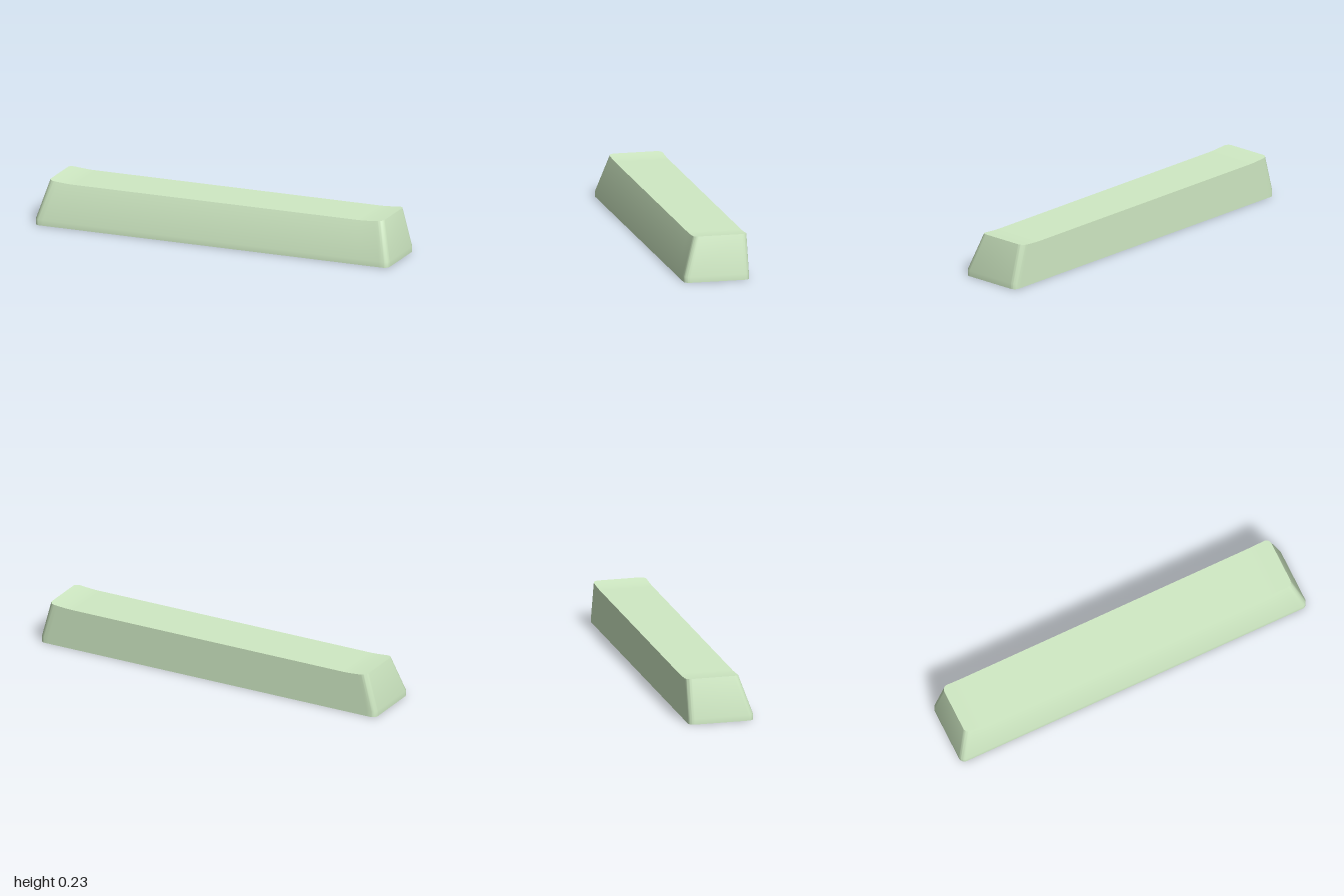
import * as THREE from 'three';
import { toCreasedNormals } from 'three/addons/utils/BufferGeometryUtils.js';

const ARC = 8; // segments per rounded corner

// Shallow scoop: the top is level and rises at both ends
const topHeight = (x) => 0.222 + 0.01 * Math.max(0, (Math.abs(x) - 0.81) / 0.135) ** 1.6;

// Rounded rectangle as a front chain (left to right) and a back chain (right to left)
function ring(y, hx, zBack, zFront, r) {
  const xs = [];
  for (let i = 0; i <= ARC; i++) {
    const a = (i / ARC) * Math.PI / 2;
    xs.push([-hx + r - r * Math.cos(a), r - r * Math.sin(a)]);
  }
  for (const f of [0.98, 0.96, 0.94, 0.92, 0.9, 0.88, 0.86, 0.5, 0]) xs.push([-(hx - r) * f, 0]);
  const half = xs.slice(0, -1).reverse().map(([x, d]) => [-x, d]);
  const chain = [...xs, ...half];
  const height = (x) => (typeof y === 'function' ? y(x) : y);
  const front = chain.map(([x, d]) => [x, height(x), zFront - d]);
  const back = chain.map(([x, d]) => [x, height(x), zBack + d]);
  return [...front, ...back.reverse()];
}

// Skin consecutive rings, then close the first and last with strips
function shell(rings) {
  const pos = [];
  const quad = (a, b, c, d) => pos.push(...a, ...b, ...c, ...a, ...c, ...d);
  const n = rings[0].length;
  for (let k = 0; k + 1 < rings.length; k++) {
    for (let i = 0; i < n; i++) {
      const j = (i + 1) % n;
      quad(rings[k][i], rings[k][j], rings[k + 1][j], rings[k + 1][i]);
    }
  }
  const first = rings[0], last = rings[rings.length - 1];
  for (let i = 0; i < n / 2 - 1; i++) {
    quad(last[i], last[i + 1], last[n - 2 - i], last[n - 1 - i]);
    quad(first[n - 1 - i], first[n - 2 - i], first[i + 1], first[i]);
  }
  const g = new THREE.BufferGeometry();
  g.setAttribute('position', new THREE.Float32BufferAttribute(pos, 3));
  return toCreasedNormals(g, 0.6);
}

export function createModel() {
  const group = new THREE.Group();
  group.name = 'wideKeycap';
  const material = new THREE.MeshStandardMaterial({ color: 0xd0eac4 });

  // Hollow cap: ceiling, inner walls, rim, outer walls and scooped top
  const cap = new THREE.Mesh(shell([
    ring(0.19, 0.936, -0.155, 0.103, 0.02),
    ring(0.03, 0.98, -0.155, 0.155, 0.02),
    ring(0, 0.98, -0.155, 0.155, 0.02),
    ring(0, 1, -0.175, 0.175, 0.03),
    ring(0.03, 1, -0.175, 0.175, 0.03),
    ring(topHeight, 0.945, -0.175, 0.11, 0.03),
  ]), material);
  cap.name = 'capShell';
  group.add(cap);

  // Round mounting stem with a cross-shaped socket
  const r = 0.058, arm = 0.042, w = 0.013;
  const shape = new THREE.Shape();
  shape.absarc(0, 0, r, 0, Math.PI * 2, false);
  const cross = [];
  for (let i = 0; i < 4; i++) {
    for (const [x, y] of [[arm, -w], [arm, w], [w, w]]) {
      cross.push(new THREE.Vector2(x, y).rotateAround(new THREE.Vector2(), i * Math.PI / 2));
    }
  }
  shape.holes.push(new THREE.Path(cross));
  const stemGeometry = new THREE.ExtrudeGeometry(shape, { depth: 0.185, bevelEnabled: false, curveSegments: 32 });
  stemGeometry.rotateX(-Math.PI / 2);
  const stem = new THREE.Mesh(toCreasedNormals(stemGeometry, 0.6), material);
  stem.name = 'stem';
  stem.position.set(0, 0.008, -0.045);
  group.add(stem);

  return group;
}
